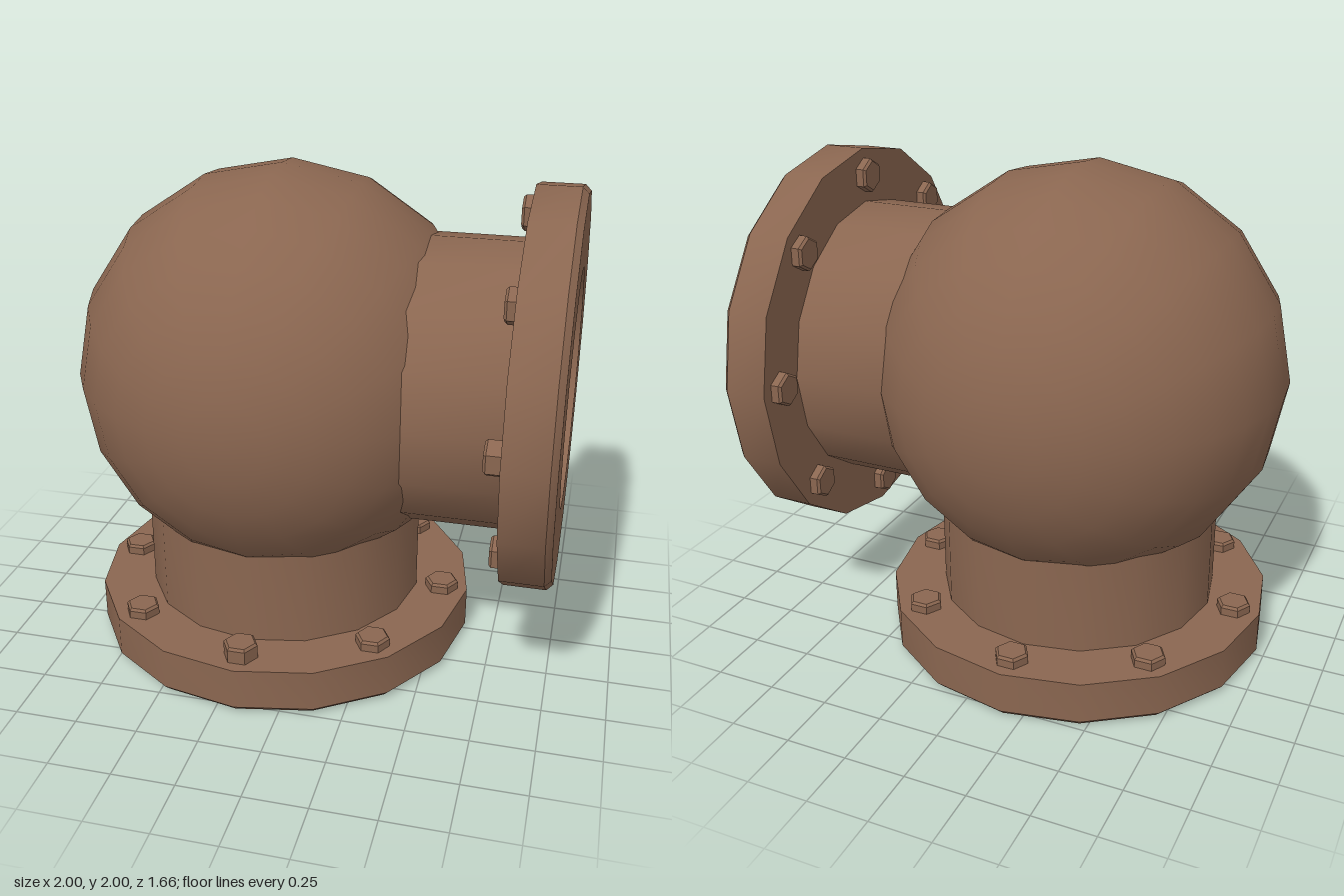
import * as THREE from 'three';
import { toCreasedNormals } from 'three/addons/utils/BufferGeometryUtils.js';

const bronze = new THREE.MeshStandardMaterial({ color: 0x8a6650 });
bronze.name = 'bronze brown';

const SIDES = 16;
const CENTRE = { x: -0.17, y: 1.17 };

// Turned part around y from a profile of [radius, height] pairs
function turned(name, profile, sides) {
  const points = profile.map(([r, y]) => new THREE.Vector2(r, y));
  const geometry = toCreasedNormals(new THREE.LatheGeometry(points, sides), 0.6);
  const mesh = new THREE.Mesh(geometry, bronze);
  mesh.name = name;
  return mesh;
}

// Hexagonal bolt head with a slight bevel on top
function bolt(height) {
  const mesh = turned('boltHead', [
    [0.07, -0.01], [0.07, height - 0.01], [0.06, height], [0, height],
  ], 6);
  mesh.rotation.y = Math.PI / 2;
  return mesh;
}

// Flanged pipe: mating face at y = 0, pipe running up +y
function flangedPipe(name) {
  const group = new THREE.Group();
  group.name = name;
  group.add(turned('flangeAndPipe', [
    [0.48, 0], [0.775, 0], [0.8, 0.025], [0.8, 0.195],
    [0.58, 0.195], [0.58, 0.65], [0.48, 0.65], [0.48, 0],
  ], SIDES));

  // Ring of eight bolts, the front one standing a little taller
  for (let i = 0; i < 8; i++) {
    const angle = (i * Math.PI) / 4;
    const head = bolt(i === 0 ? 0.065 : 0.042);
    head.position.set(0.69 * Math.sin(angle), 0.195, 0.69 * Math.cos(angle));
    group.add(head);
  }
  return group;
}

export function createModel() {
  const model = new THREE.Group();
  model.name = 'pipeElbow';

  // Round body, poles along z
  const ball = new THREE.Mesh(new THREE.SphereGeometry(0.83, SIDES, 16), bronze);
  ball.name = 'sphericalBody';
  ball.rotation.x = Math.PI / 2;
  ball.position.set(CENTRE.x, CENTRE.y, 0);
  model.add(ball);

  // Lower outlet
  const lower = flangedPipe('lowerOutlet');
  lower.position.x = CENTRE.x;
  model.add(lower);

  // Side outlet, opening toward +x
  const side = flangedPipe('sideOutlet');
  side.rotation.z = Math.PI / 2;
  side.position.set(1, CENTRE.y, 0);
  model.add(side);

  return model;
}
